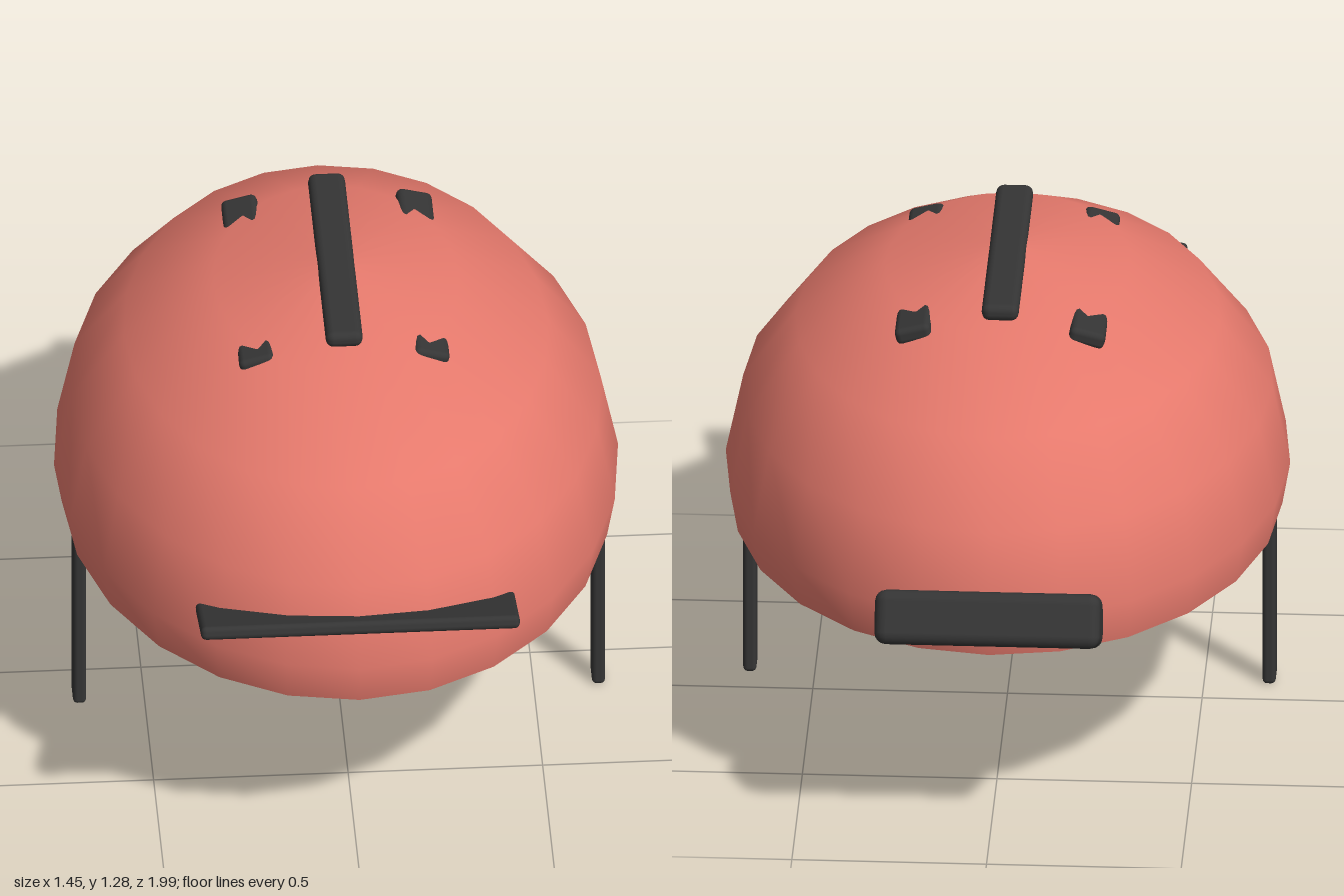
import * as THREE from 'three';
import { RoundedBoxGeometry } from 'three/addons/geometries/RoundedBoxGeometry.js';

export function createModel() {
  const model = new THREE.Group();
  model.name = 'helmet';

  const red = new THREE.MeshStandardMaterial({ color: 0xe5796c });
  red.name = 'coral red';
  const black = new THREE.MeshStandardMaterial({ color: 0x353535 });
  black.name = 'charcoal';

  // One surface of the egg-shaped shell: a turned profile stretched along z
  function shellPart(name, profile) {
    const points = profile.map(([r, y]) => new THREE.Vector2(r, y));
    const geometry = new THREE.LatheGeometry(points, 24);
    geometry.scale(1, 1, 1.317);
    geometry.translate(0, 0, 0.025);
    const mesh = new THREE.Mesh(geometry, red);
    mesh.name = name;
    model.add(mesh);
  }

  // Softened dark block
  function block(name, size, position, radius, rotX = 0, rotZ = 0) {
    const mesh = new THREE.Mesh(new RoundedBoxGeometry(...size, 2, radius), black);
    mesh.name = name;
    mesh.position.set(...position);
    mesh.rotation.set(rotX, 0, rotZ);
    model.add(mesh);
  }

  // Shell: domed outside, hollow inside under a shallow crown
  shellPart('outerShell', [[0.705, 0.55], [0.725, 0.665], [0.68, 0.88], [0.545, 1.065], [0.315, 1.216], [0, 1.271]]);
  shellPart('rim', [[0.645, 0.55], [0.705, 0.55]]);
  shellPart('innerWall', [[0.51, 1.0], [0.622, 0.85], [0.667, 0.67], [0.645, 0.55]]);
  shellPart('innerCrown', [[0, 1.09], [0.27, 1.07], [0.51, 1.0]]);

  // Flat tilted visor through the front and padded block at the back
  block('visor', [0.82, 0.036, 0.25], [0, 0.764, 0.876], 0.014, -0.32);
  block('rearPad', [0.58, 0.14, 0.2], [0, 0.645, -0.888], 0.03, 0.45);

  // Ridge along the crown
  block('centreRidge', [0.095, 0.045, 0.73], [0, 1.258, 0], 0.02);

  for (const side of [1, -1]) {
    const label = side > 0 ? 'left' : 'right';
    // Side ridges, sunk so only their ends break the surface
    block(label + 'Ridge', [0.094, 0.045, 0.73], [side * 0.223, 1.192, 0], 0.016, 0, -side * 0.25);
    // Hanging chin straps
    block(label + 'Strap', [0.034, 0.57, 0.07], [side * 0.667, 0.285, 0.12], 0.012);
  }

  return model;
}
